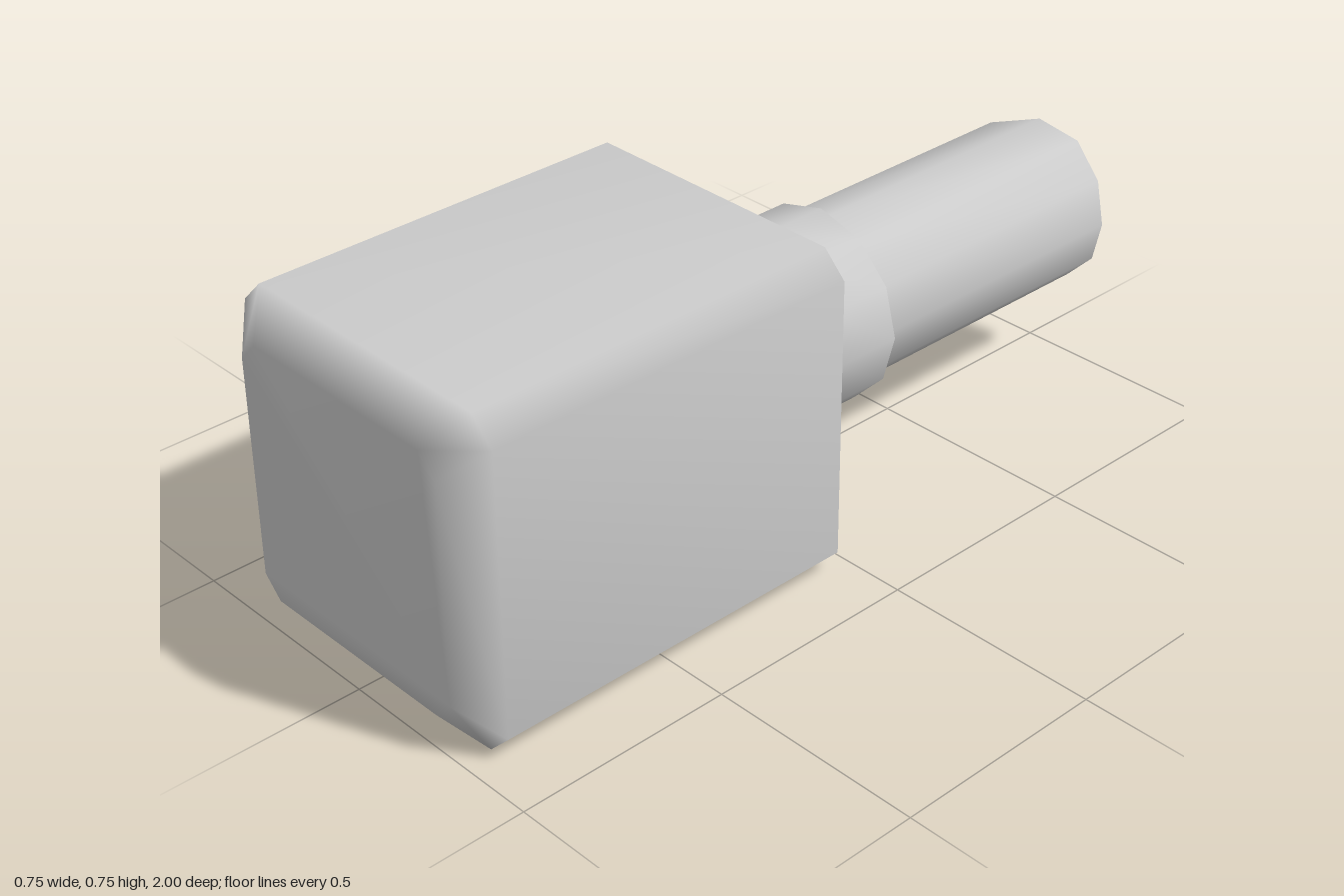
import * as THREE from 'three';

const CY = 0.375; // height of the long axis

// Octagon: square of half-width h with corners cut by c, counter-clockwise seen from +z
function octagon(h, c, z) {
  const k = h - c;
  return [[h, -k], [h, k], [k, h], [-k, h], [-h, k], [-h, -k], [-k, -h], [k, -h]]
    .map(([x, y]) => [x, CY + y, z]);
}

// Twelve-sided ring; z may be a function of x
function ring(r, z) {
  return Array.from({ length: 12 }, (_, i) => {
    const a = i * Math.PI / 6, x = r * Math.cos(a);
    return [x, CY + r * Math.sin(a), typeof z === 'function' ? z(x) : z];
  });
}

function build(points, index) {
  const g = new THREE.BufferGeometry();
  g.setAttribute('position', new THREE.Float32BufferAttribute(points.flat(), 3));
  g.setIndex(index);
  g.computeVertexNormals();
  return g;
}

// Skin between rings listed from +z to -z, with an optional front cap sharing its rim
function loft(rings, frontCap = false) {
  const n = rings[0].length, index = [];
  for (let k = 0; k < rings.length - 1; k++) {
    for (let i = 0; i < n; i++) {
      const a = k * n + i, b = k * n + (i + 1) % n;
      index.push(a, a + n, b, b, a + n, b + n);
    }
  }
  if (frontCap) for (let i = 1; i < n - 1; i++) index.push(0, i, i + 1);
  return build(rings.flat(), index);
}

// Back-facing cap made of strips that run from the upper to the lower half of a ring
function backCap(pts) {
  const n = pts.length, index = [];
  for (let i = 0; i < n / 2; i++) {
    const l0 = (n - i) % n, l1 = n - i - 1;
    if (i > 0) index.push(i, l0, l1);
    if (i + 1 !== l1) index.push(i, l1, i + 1);
  }
  return build(pts, index);
}

// Curved slant of the tip, highest at x = 0.1
function tipZ(x) {
  const d = x - 0.1;
  return -1 + (d < 0 ? 1.75 : 1.5) * d * d;
}

export function createModel() {
  const model = new THREE.Group();
  const smooth = new THREE.MeshStandardMaterial({ color: 0xcccccc, side: THREE.DoubleSide });
  const flat = new THREE.MeshStandardMaterial({ color: 0xcccccc, side: THREE.DoubleSide, flatShading: true });

  function part(name, material, ...geometries) {
    const group = new THREE.Group();
    group.name = name;
    for (const g of geometries) group.add(new THREE.Mesh(g, material));
    model.add(group);
  }

  // Block with bevelled edges and a shoulder tapering towards the neck
  part('body', smooth, loft([
    octagon(0.295, 0.045, 1),
    octagon(0.375, 0.055, 0.93),
    octagon(0.375, 0.055, 0.05),
    octagon(0.3, 0.055, -0.01),
    octagon(0.225, 0.055, -0.045),
  ], true));

  // Short octagonal neck
  const neckEnd = octagon(0.225, 0.055, -0.095);
  part('neck', flat, loft([octagon(0.225, 0.055, -0.045), neckEnd]),
    build(neckEnd, [1, 2, 3, 4, 5, 6, 7].slice(0, 6).flatMap((i) => [0, i + 1, i])));

  // Round collar
  part('collar', smooth, loft([ring(0.225, -0.093), ring(0.225, -0.268)]),
    backCap(ring(0.225, -0.268)));

  // Stick with a curved slanted tip
  part('stick', smooth, loft([ring(0.2, -0.25), ring(0.2, tipZ)]));
  part('slantedTip', smooth, backCap(ring(0.2, tipZ)));

  return model;
}
